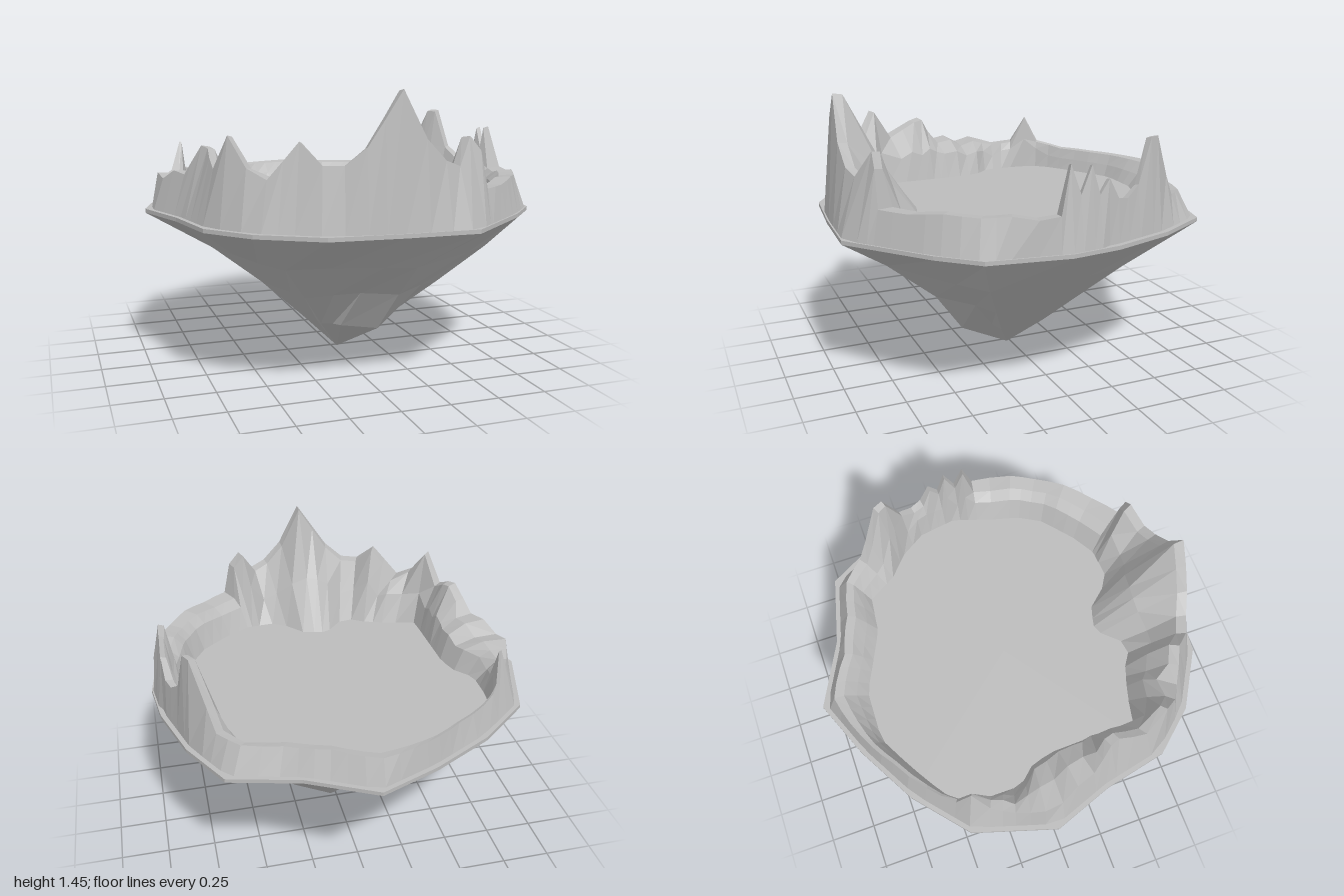
import * as THREE from 'three';

const RIM_Y = 0.8, TOP_Y = 0.82;

// Plan outline of the island (x, z), going from +x towards +z
const OUTLINE = [
  [0.98, 0.1], [0.92, 0.5], [0.76, 0.68], [0.38, 1.0], [0.02, 0.99], [-0.34, 0.96],
  [-0.63, 0.79], [-0.81, 0.58], [-0.88, 0.25], [-0.99, -0.06], [-0.86, -0.48], [-0.59, -0.71],
  [-0.28, -0.88], [0.02, -1], [0.35, -0.83], [0.7, -0.74], [0.85, -0.47], [0.95, -0.15],
];

// Where the mountains meet the inner plain (x, z)
const PLAIN = [
  [0.84, 0], [0.77, 0.2], [0.73, 0.35], [0.66, 0.47], [0.5, 0.6], [0.38, 0.67], [0.2, 0.68],
  [0.07, 0.53], [-0.06, 0.5], [-0.2, 0.65], [-0.3, 0.58], [-0.45, 0.53], [-0.6, 0.5],
  [-0.61, 0.03], [-0.65, -0.1], [-0.72, -0.16], [-0.72, -0.45], [-0.62, -0.55], [-0.44, -0.66],
  [-0.25, -0.76], [0.02, -0.75], [0.33, -0.6], [0.52, -0.58], [0.62, -0.42], [0.72, -0.34], [0.81, -0.2],
];

// Ridge line: angle in degrees (0 = +x, 90 = front), height, radius
const RIDGE = [
  [-3.5, 1.06, 0.92], [-1, 1.2, 0.91], [2.5, 1.07, 0.92], [5.5, 1.21, 0.91], [9, 0.99, 0.96],
  [15, 0.98, 0.98], [22, 1.0, 0.97], [30, 0.99, 0.97], [40, 1.0, 0.97], [50, 0.98, 0.97],
  [60, 0.98, 0.98], [62, 1.16, 0.96], [65, 1.23, 0.93], [71, 1.1, 0.96], [76, 1.13, 0.96],
  [82, 1.23, 0.95], [88.8, 1.45, 0.93], [99, 1.2, 0.94], [105, 1.12, 0.93], [111, 1.12, 0.92],
  [118, 1.22, 0.87], [127, 1.05, 0.91], [133, 1.1, 0.92], [140, 1.24, 0.9], [147, 1.08, 0.88],
  [156, 1.16, 0.8], [160, 1.17, 0.8], [168, 1.02, 0.84], [175, 1.03, 0.86], [181, 0.98, 0.9],
  [187, 1.0, 0.92], [196, 0.96, 0.9], [204, 0.98, 0.88], [210, 1.13, 0.86], [215, 0.98, 0.88],
  [226, 0.95, 0.86], [240, 0.95, 0.85], [255, 0.95, 0.88], [270, 0.95, 0.92], [285, 0.95, 0.83],
  [300, 0.95, 0.84], [312, 0.95, 0.91], [321, 0.96, 0.91], [325, 1.07, 0.9], [332, 1.28, 0.9],
  [335.5, 1.28, 0.9], [341, 1.07, 0.9], [346, 1.02, 0.91], [350, 1.03, 0.92], [353.5, 1.13, 0.92],
];

// Distance from the centre to a closed polygon at a given angle
function radiusAt(poly, angle) {
  const c = Math.cos(angle), s = Math.sin(angle);
  for (let i = 0; i < poly.length; i++) {
    const [ax, az] = poly[i], [bx, bz] = poly[(i + 1) % poly.length];
    const da = az * c - ax * s, db = bz * c - bx * s;
    if (da <= 0 && db > 0) {
      const t = da / (da - db);
      return (ax + (bx - ax) * t) * c + (az + (bz - az) * t) * s;
    }
  }
  return 0.8;
}

// Skin closed rings of equal length, from the outer bottom up and over
function loft(rings, name, material) {
  const pos = [];
  const n = rings[0].length;
  for (let r = 0; r + 1 < rings.length; r++) {
    for (let i = 0; i < n; i++) {
      const j = (i + 1) % n;
      const a = rings[r][i], b = rings[r][j], c = rings[r + 1][i], d = rings[r + 1][j];
      pos.push(...a, ...c, ...b, ...b, ...c, ...d);
    }
  }
  const geometry = new THREE.BufferGeometry();
  geometry.setAttribute('position', new THREE.Float32BufferAttribute(pos, 3));
  geometry.computeVertexNormals();
  const mesh = new THREE.Mesh(geometry, material);
  mesh.name = name;
  return mesh;
}

export function createModel() {
  const group = new THREE.Group();
  group.name = 'floatingIsland';
  const rock = new THREE.MeshStandardMaterial({ color: 0xbcbcbc, flatShading: true });
  rock.name = 'grey rock';

  // Faceted underside tapering to a point, with a buttress at the front
  const flat = (y) => OUTLINE.map(([x, z]) => [x, y, z]);
  const tip = OUTLINE.map(() => [0.03, 0, 0.02]);
  const level = (y, scale, lean, wobble, buttress) => {
    const ring = OUTLINE.map(([x, z], i) => {
      const s = scale + lean * (x + 0.6 * z) + wobble * Math.sin(i * 2.4);
      return [0.03 + x * s, y, 0.02 + z * s];
    });
    ring.splice(3, buttress.length, ...buttress);
    return ring;
  };
  group.add(loft([
    tip,
    level(0.2, 0.23, 0.03, 0.025, [[0.15, 0.18, 0.33], [-0.05, 0.21, 0.31], [-0.08, 0.21, 0.27]]),
    level(0.4, 0.46, 0.04, 0.03, [[0.2, 0.4, 0.49], [0, 0.42, 0.47], [-0.13, 0.41, 0.43]]),
    level(0.6, 0.71, 0.03, 0.025, [[0.19, 0.6, 0.74], [0.03, 0.61, 0.73], [-0.22, 0.61, 0.67]]),
    flat(RIM_Y),
  ], 'underside', rock));

  // Thin rim and the level plain
  group.add(loft([flat(RIM_Y), flat(TOP_Y), OUTLINE.map(() => [0, TOP_Y, 0])], 'plain', rock));

  // Extra stations across the wider gaps of the ridge
  const stations = [];
  RIDGE.forEach((p, i) => {
    const q = RIDGE[(i + 1) % RIDGE.length];
    const gap = (q[0] - p[0] + 360) % 360;
    const steps = Math.ceil(gap / 7);
    for (let k = 0; k < steps; k++) {
      const t = k / steps;
      stations.push([p[0] + gap * t, p[1] + (q[1] - p[1]) * t, p[2] + (q[2] - p[2]) * t]);
    }
  });

  // Mountain ring: outer foot, outer crest, inner crest, inner shoulder, inner foot
  const rings = [[], [], [], [], []];
  stations.forEach(([deg, h, crest], i) => {
    const angle = THREE.MathUtils.degToRad(deg);
    const outer = radiusAt(OUTLINE, angle) * (deg < 100 ? 0.992 : 0.975);
    const inner = radiusAt(PLAIN, angle);
    const top = Math.min(crest, outer - 0.01);
    const width = Math.max(top - inner, 0.04);
    const peak = h > 1.05, lowWall = h < 0.97;
    const ledge = peak ? Math.min(0.05, width * 0.3) : width * (lowWall ? 0.3 : 0.45);
    const shoulder = peak ? 0.5 + 0.08 * Math.sin(i * 2.1) : (lowWall ? 0.5 : 0.7);
    // the right-hand slopes stay high until close to the plain
    const reach = deg > 143 && deg < 190 ? 0.7 : 0.5;
    const rise = h - TOP_Y;
    [
      [outer, TOP_Y],
      [top, h],
      [top - ledge, h - 0.008],
      [top - ledge - (width - ledge) * reach, TOP_Y + rise * shoulder],
      [top - width, TOP_Y - 0.004],
    ].forEach(([r, y], k) => rings[k].push([r * Math.cos(angle), y, r * Math.sin(angle)]));
  });
  group.add(loft(rings, 'mountainRing', rock));

  return group;
}
